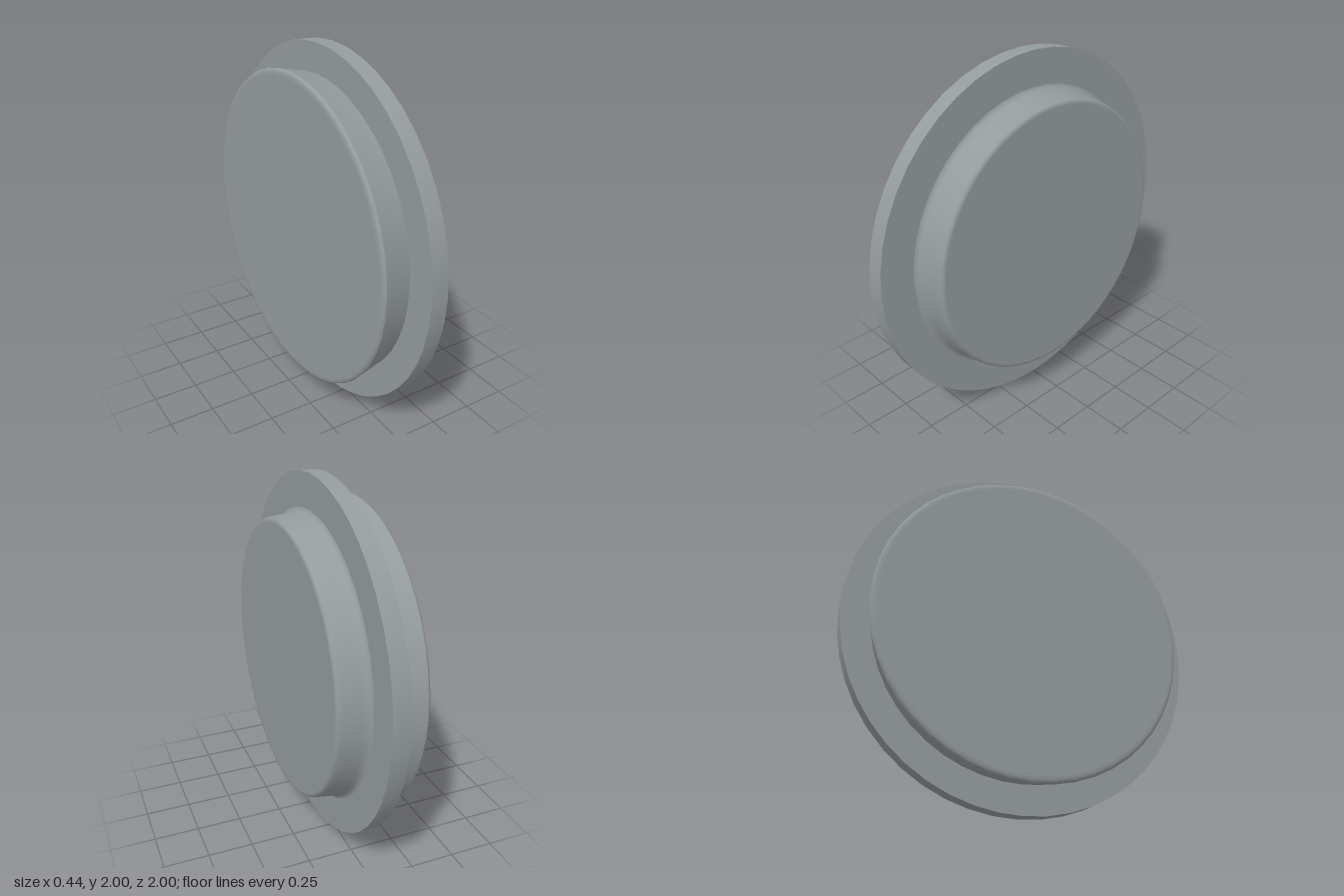
import * as THREE from 'three';
import { toCreasedNormals } from 'three/addons/utils/BufferGeometryUtils.js';

const SEGMENTS = 48;

// Revolves [x, radius] pairs, listed from -x to +x, around the x axis
function revolve(name, profile, material) {
  const points = profile.map(([x, r]) => new THREE.Vector2(r, x));
  const lathe = new THREE.LatheGeometry(points, SEGMENTS);
  lathe.rotateZ(-Math.PI / 2);
  const mesh = new THREE.Mesh(toCreasedNormals(lathe, 0.7), material);
  mesh.name = name;
  return mesh;
}

export function createModel() {
  const model = new THREE.Group();
  model.name = 'flangedDisc';
  const slate = new THREE.MeshStandardMaterial({ color: 0x949b9c });

  // Wide boss flaring outward to a softly rounded, flat closed face
  const wideBoss = revolve('wideBoss', [
    [-0.22, 0], [-0.22, 0.835], [-0.22, 0.853], [-0.215, 0.867], [-0.203, 0.874],
    [-0.19, 0.871], [-0.14, 0.86], [-0.07, 0.845], [-0.048, 0.842],
  ], slate);
  wideBoss.position.z = -0.005;

  // Thin outer flange
  const flange = revolve('flange', [
    [-0.048, 0.83], [-0.048, 1], [0.046, 1], [0.046, 0.78],
  ], slate);

  // Narrow boss with a fillet at the flange and a rounded edge on its flat face
  const narrowBoss = revolve('narrowBoss', [
    [0.046, 0.812], [0.05, 0.802], [0.062, 0.792], [0.088, 0.786],
    [0.145, 0.778], [0.19, 0.772], [0.207, 0.767], [0.215, 0.757],
    [0.215, 0.745], [0.215, 0],
  ], slate);

  const body = new THREE.Group();
  body.name = 'body';
  body.add(wideBoss, flange, narrowBoss);
  body.position.y = 1;
  model.add(body);
  return model;
}
